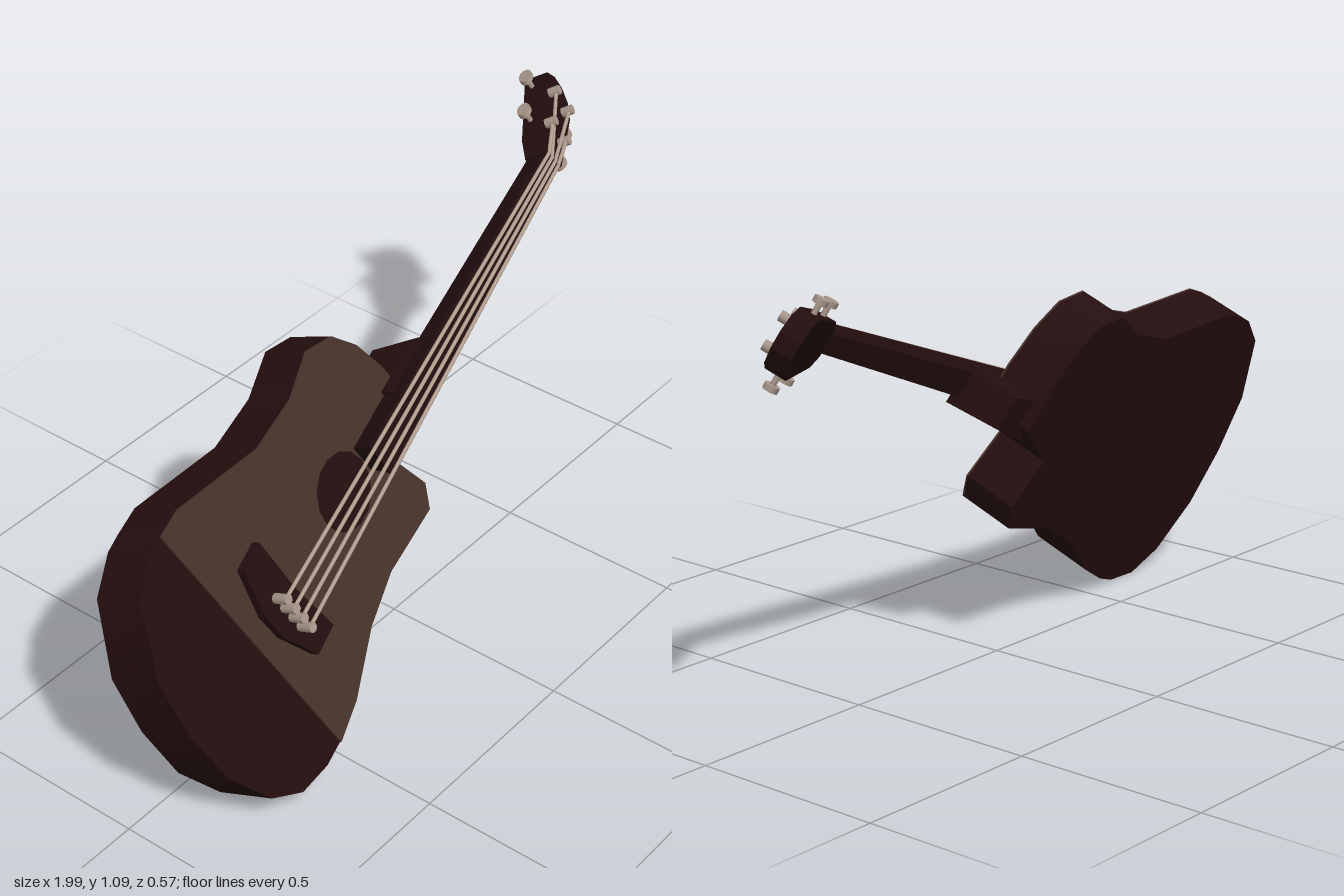
import * as THREE from 'three';
import { toCreasedNormals } from 'three/addons/utils/BufferGeometryUtils.js';

// Local frame: x runs along the neck, y across the strings, z out of the soundboard.
const material = (name, color) => {
  const m = new THREE.MeshStandardMaterial({ color });
  m.name = name;
  return m;
};

export function createModel() {
  const darkWood = material('dark wood', 0x250e0f);
  const neckWood = material('neck wood', 0x220d0e);
  const topWood = material('soundboard wood', 0x45322a);
  const metal = material('string metal', 0xb5a192);
  const pegMetal = material('peg metal', 0xa8968a);

  const add = (parent, name, geometry, mat) => {
    const mesh = new THREE.Mesh(geometry, mat);
    mesh.name = name;
    parent.add(mesh);
    return mesh;
  };
  const plate = (points, depth, z = 0) => {
    const shape = new THREE.Shape(points.map(([x, y]) => new THREE.Vector2(x, y)));
    return new THREE.ExtrudeGeometry(shape, { depth, bevelEnabled: false }).translate(0, 0, z);
  };
  const warp = (geometry, rule) => {
    const p = geometry.attributes.position;
    const v = new THREE.Vector3();
    for (let i = 0; i < p.count; i++) {
      rule(v.fromBufferAttribute(p, i));
      p.setXYZ(i, v.x, v.y, v.z);
    }
    const flat = geometry.index ? geometry.toNonIndexed() : geometry;
    flat.computeVertexNormals();
    return flat;
  };
  const rod = (parent, name, a, b, radius, mat, sides = 8) => {
    const dir = b.clone().sub(a);
    const mesh = add(parent, name, new THREE.CylinderGeometry(radius, radius, dir.length(), sides), mat);
    mesh.position.copy(a).lerp(b, 0.5);
    mesh.quaternion.setFromUnitVectors(new THREE.Vector3(0, 1, 0), dir.normalize());
    return mesh;
  };
  const V = (x, y, z) => new THREE.Vector3(x, y, z);

  const guitar = new THREE.Group();
  guitar.name = 'guitar';

  // Body: outline with a cutaway, deeper towards the lower rim
  const upper = [
    [-0.455, 0.397], [-0.375, 0.393], [-0.11, 0.273], [0.047, 0.256], [0.168, 0.283],
    [0.251, 0.237], [0.292, 0.155], [0.311, 0.049], [0.311, -0.06], [0.161, -0.119],
    [0.19, -0.253], [0.15, -0.307], [-0.055, -0.284], [-0.2, -0.307], [-0.37, -0.372],
    [-0.478, -0.388],
  ];
  const tail = [
    [-0.545, -0.385], [-0.641, -0.352], [-0.71, -0.271], [-0.753, -0.12],
    [-0.747, 0.042], [-0.71, 0.2], [-0.6, 0.356], [-0.5, 0.396],
  ];
  const body = warp(plate([...upper, ...tail], 1, -1), (v) => {
    v.z *= 0.14 - 0.02 * v.x - 0.04 * v.y;
  });
  add(guitar, 'body', toCreasedNormals(body, 0.6), darkWood);
  add(guitar, 'soundboard', plate(upper, 0.005), topWood);

  // Sound hole and bridge
  add(guitar, 'soundHole', new THREE.CircleGeometry(0.098, 14), darkWood).position.set(-0.01, -0.025, 0.008);
  add(guitar, 'bridge', plate([
    [-0.29, 0.155], [-0.3, -0.01], [-0.29, -0.17], [-0.375, -0.17], [-0.412, -0.05], [-0.412, 0.03], [-0.37, 0.155],
  ], 0.028), darkWood);

  // Heel block joining neck and body
  const heel = warp(new THREE.BoxGeometry(0.17, 0.11, 0.14), (v) => {
    if (v.x > 0 && v.z < 0) { v.x -= 0.03; v.y *= 0.8; }
  });
  add(guitar, 'heel', heel, darkWood).position.set(0.345, -0.04, -0.035);

  // Neck group: starts at the bridge pins, its z = 0 is the string plane
  const neck = new THREE.Group();
  neck.name = 'neck';
  neck.position.set(-0.36, -0.022, 0.06);
  neck.rotation.set(0, -0.035, -0.0175);
  guitar.add(neck);

  // Neck bar: tapers to the nut and narrows at the back
  const start = 0.45, nut = 1.42;
  const bar = warp(new THREE.BoxGeometry(1, 1, 1), (v) => {
    const t = v.x + 0.5;
    const back = v.z < 0;
    v.x = start + (nut - start) * t;
    v.y *= THREE.MathUtils.lerp(0.102, 0.066, t) * (back ? 0.75 : 1);
    v.z = back ? THREE.MathUtils.lerp(-0.078, -0.058, t) : -0.012;
  });
  add(neck, 'neckBar', bar, neckWood);
  const nutBar = add(neck, 'nut', new THREE.BoxGeometry(0.012, 0.064, 0.014), neckWood);
  nutBar.position.set(nut, 0, -0.01);

  // Headstock, angled back
  const tilt = 0.405;
  const head = new THREE.Group();
  head.name = 'headstock';
  head.position.set(nut, 0, -0.012);
  head.rotation.y = tilt;
  neck.add(head);
  const half = [[-0.01, 0.033], [0.035, 0.058], [0.235, 0.076], [0.28, 0.058], [0.303, 0.02]];
  const mirrored = half.map(([x, y]) => [x, -y]).reverse();
  add(head, 'headPlate', plate([...half, ...mirrored], 0.052, -0.052), neckWood);

  // Tuners: post on the face, shaft and button at the side
  for (const side of [1, -1]) {
    for (const s of [0.1, 0.22]) {
      const edge = side * (s < 0.15 ? 0.06 : 0.07);
      const tuner = new THREE.Group();
      tuner.name = 'tuner';
      head.add(tuner);
      rod(tuner, 'post', V(s, side * 0.036, -0.01), V(s, side * 0.036, 0.03), 0.013, pegMetal);
      rod(tuner, 'shaft', V(s, edge - side * 0.01, -0.03), V(s, edge + side * 0.04, -0.03), 0.007, pegMetal);
      const button = rod(tuner, 'button', V(s, edge + side * 0.03, -0.03), V(s, edge + side * 0.044, -0.03), 0.018, pegMetal, 10);
      button.scale.x = 1.3;
    }
  }

  // Strings with their bridge pins; the inner pair reaches the far posts
  const posts = [[0.1, 0.036], [0.22, 0.036], [0.22, -0.036], [0.1, -0.036]];
  posts.forEach(([s, y], i) => {
    const k = 1.5 - i;
    const pin = V(0, k * 0.036, 0);
    const bend = V(nut, k * 0.016, 0);
    const post = V(s, y, 0.02).applyAxisAngle(V(0, 1, 0), tilt).add(head.position);
    rod(neck, 'bridgePin', V(0, pin.y, -0.045), V(0, pin.y, 0.01), 0.013, pegMetal);
    rod(neck, 'string', pin, bend, 0.005, metal, 6);
    rod(neck, 'stringEnd', bend, post, 0.005, metal, 6);
  });

  // Lean the whole instrument back with the neck rising to its left
  const along = V(0.914, 0.349, -0.206).normalize();
  const across = V(0.061, 0.385, 0.921).cross(along).normalize();
  const out = along.clone().cross(across);
  guitar.quaternion.setFromRotationMatrix(new THREE.Matrix4().makeBasis(along, across, out));
  guitar.position.set(-0.26, 0.585, 0.036);

  const model = new THREE.Group();
  model.name = 'model';
  model.add(guitar);
  return model;
}
